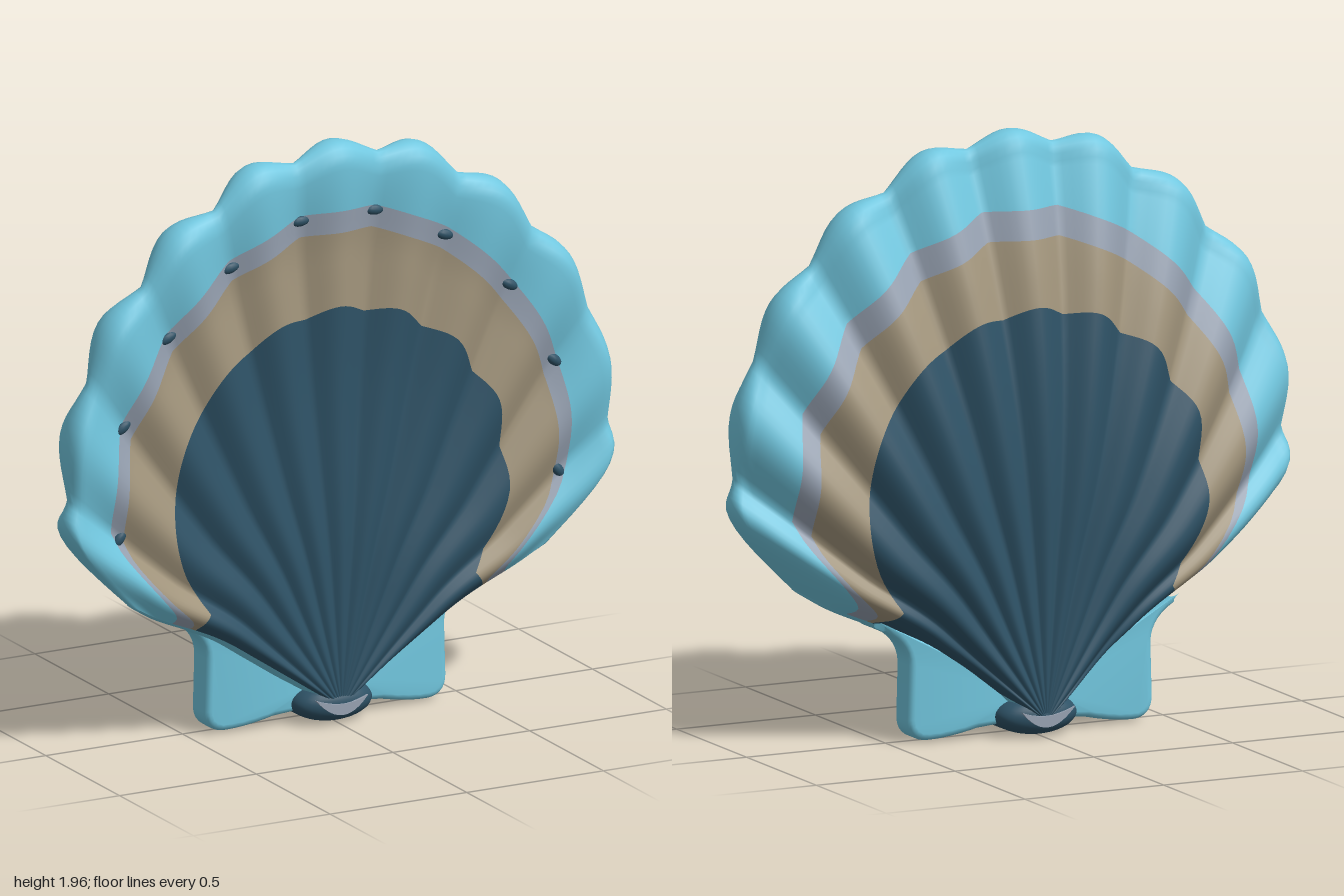
import * as THREE from 'three';
import { toCreasedNormals } from 'three/addons/utils/BufferGeometryUtils.js';

const DEG = Math.PI / 180;
const TIP_Y = 0.06;                                   // point the ribs fan out from
const EDGE = 59.6;                                    // half angle of the fan
const VALLEY = [4.7, 14.4, 25.2, 36.9, 49.8, EDGE];   // angles between ribs
const VALLEY_R = [1.85, 1.785, 1.67, 1.52, 1.29, 0.9];
const BULGE = [0.05, 0.06, 0.055, 0.045, 0.035, 0.12]; // scallop of each rib's end
const SEG = 12;

const mat = (name, color) => {
  const m = new THREE.MeshStandardMaterial({ color });
  m.name = name;
  return m;
};
const step = (a, b, x) => THREE.MathUtils.smoothstep(x, a, b);
const lerp = THREE.MathUtils.lerp;

// One ray of the fan: angle, roundness k of its rib (0 in valleys, 1 on crests),
// length R and unscalloped length base
function makeRay(rib, t) {
  const n = Math.abs(rib), s = rib < 0 ? -1 : 1;
  const a0 = n ? VALLEY[n - 1] : -VALLEY[0];
  const r0 = n ? VALLEY_R[n - 1] : VALLEY_R[0];
  const angle = s * lerp(a0, VALLEY[n], t);
  const k = lerp(1 - (2 * t - 1) ** 2, Math.sin(Math.PI * t) ** 2, 0.5);
  const base = lerp(r0, VALLEY_R[n], t);
  return { a: angle * DEG, u: angle / EDGE, k, base, R: base + BULGE[n] * k };
}

// Domed back and nearly flat, puffy front
function backZ(ray, v) {
  const dome = 0.22 * (Math.max(0, v - 0.35) / 0.62) ** 2;
  const side = 0.03 * ray.u ** 2 + 0.045 * ray.u ** 4 + 0.06 * ray.u ** 16;
  const z = -0.165 + dome + side * (1 - 0.7 * step(0.6, 1, v)) * step(0, 0.3, v);
  return z - 0.055 * (ray.k - 0.5) * Math.min(1, v * 1.3);
}
function frontZ(ray, v) {
  const dip = 0.03 * step(0.25, 0.65, v) * (1 - step(0.8, 0.97, v)) * (1 - ray.u ** 4);
  const lift = 0.014 * step(0.1, 0.45, Math.abs(ray.u)) * step(0.2, 0.6, v);
  const fade = 1 - 0.4 * step(0.85, 1, v);
  return 0.155 - dip + lift - 0.015 * ray.u ** 14 + 0.045 * (ray.k - 0.5) * Math.min(1, v * 1.3) * fade;
}
// The fan is a little narrower near the hinge
function place(ray, v, z) {
  const r = ray.R * v, a = ray.a * (1 - 0.06 * (1 - step(0.45, 0.8, r)));
  return new THREE.Vector3(Math.sin(a) * r, TIP_Y + Math.cos(a) * r, z);
}

// Smooth surface from rows of points, with a material index for each strip
function gridGeometry(rows, colourOf, flip) {
  const w = rows[0].length, pos = [], idx = [];
  const g = new THREE.BufferGeometry();
  rows.forEach(row => row.forEach(p => pos.push(p.x, p.y, p.z)));
  for (let j = 0; j < rows.length - 1; j++) {
    g.addGroup(idx.length, (w - 1) * 6, colourOf(j));
    for (let i = 0; i < w - 1; i++) {
      const a = j * w + i, b = a + w, c = a + 1, d = b + 1;
      if (flip) idx.push(a, c, b, c, d, b);
      else idx.push(a, b, c, c, b, d);
    }
  }
  g.setAttribute('position', new THREE.Float32BufferAttribute(pos, 3));
  g.setIndex(idx);
  g.computeVertexNormals();
  return g;
}

export function createModel() {
  const group = new THREE.Group();
  const blue = mat('sky blue', 0x72c8e0), dark = mat('deep blue', 0x2e5266);
  const tan = mat('tan', 0xa3967d), grey = mat('pale grey', 0x98a3b3);
  const palette = [dark, tan, grey, blue];
  const add = (name, geo, material) => {
    const m = new THREE.Mesh(geo, material);
    m.name = name;
    group.add(m);
    return m;
  };

  // Rays of all eleven ribs, from one side to the other
  const rays = [];
  for (let rib = -5; rib <= 5; rib++) {
    for (let i = rib === -5 ? 0 : 1; i <= SEG; i++) rays.push(makeRay(rib, rib < 0 ? 1 - i / SEG : i / SEG));
  }

  // Strips along a ray: dark, tan, grey, blue, mirrored on back and front
  const counts = [18, 7, 2, 8], strips = [];
  counts.forEach((n, c) => { for (let i = 0; i < n; i++) strips.push([c, i / n]); });
  const END = 0.965;
  const fractions = (ray, tanEnd, greyEnd) => {
    // Round dark zone; the tan and grey bands follow the rim and pinch out at the sides
    const pinch = step(0.86, 0.99, Math.abs(ray.u)), base = ray.base + 0.03;
    const circle = 0.73 * Math.cos(ray.a) + Math.sqrt(Math.max(0, 0.37 - (0.73 * Math.sin(ray.a)) ** 2));
    const rDark = Math.max(0.62, circle - 0.02 + 0.03 * ray.k);
    const rTan = lerp((tanEnd - 0.1 * ray.u ** 2) * base, rDark + 0.02, pinch);
    const rGrey = lerp((greyEnd - 0.09 * ray.u ** 2) * base, rDark + 0.09, pinch);
    const k = [0.025, rDark, rTan, rGrey, END * ray.R].map(r => r / ray.R);
    return [...strips.map(([c, t]) => lerp(k[c], k[c + 1], t)), END];
  };
  const RIM = 8;
  const profiles = rays.map(ray => {
    const pts = fractions(ray, 0.83, 0.88).map(v => place(ray, v, backZ(ray, v)));
    for (let i = 1; i < RIM; i++) {
      const f = Math.PI * i / RIM;
      const z = lerp(backZ(ray, END), frontZ(ray, END), (1 - Math.cos(f)) / 2);
      pts.push(place(ray, END + 0.035 * Math.sin(f), z));
    }
    const front = fractions(ray, 0.85, 0.89).reverse();
    return [...pts, ...front.map(v => place(ray, v, frontZ(ray, v)))];
  });
  const total = profiles[0].length;
  const rows = Array.from({ length: total }, (_, j) => profiles.map(p => p[j]));
  const stripColour = j => {
    const m = Math.min(j, total - 2 - j);
    return m < strips.length ? strips[m][0] : 3;
  };
  add('ribbedShell', gridGeometry(rows, stripColour, false), palette);

  // Rounded walls closing the two straight sides
  for (const s of [-1, 1]) {
    const p = profiles[s < 0 ? 0 : profiles.length - 1];
    const out = new THREE.Vector3(s * 0.5, -0.86, 0);
    const wall = [], half = Math.floor(total / 2);
    for (let j = 0; j < half; j++) {
      const bulge = 0.02 * Math.sqrt(1 - j / (half - 1));
      wall.push(Array.from({ length: 9 }, (_, q) =>
        p[j].clone().lerp(p[total - 1 - j], q / 8).addScaledVector(out, bulge * Math.sin(Math.PI * q / 8))));
    }
    add(s < 0 ? 'rightSideWall' : 'leftSideWall', gridGeometry(wall, () => 0, s < 0), [blue]);
  }

  // Ears beside the hinge, thicker towards the shell
  for (const s of [-1, 1]) {
    const shape = new THREE.Shape();
    shape.moveTo(s * 0.04, 0.07);
    shape.lineTo(s * 0.2, 0.055);
    shape.quadraticCurveTo(s * 0.3, 0.03, s * 0.37, 0.03);
    shape.quadraticCurveTo(s * 0.42, 0.03, s * 0.42, 0.08);
    shape.lineTo(s * 0.415, 0.26);
    shape.quadraticCurveTo(s * 0.42, 0.36, s * 0.54, 0.41);
    shape.lineTo(s * 0.04, 0.14);
    const geo = new THREE.ExtrudeGeometry(shape, { depth: 0.06, bevelThickness: 0.025,
      bevelSize: 0.022, bevelSegments: 4, curveSegments: 8 });
    geo.translate(0, 0, -0.03);
    const ep = geo.attributes.position;
    for (let i = 0; i < ep.count; i++) ep.setZ(i, ep.getZ(i) * (1 + 1.3 * (0.44 - Math.abs(ep.getX(i)))));
    add(s < 0 ? 'rightEar' : 'leftEar', toCreasedNormals(geo, 0.6), blue);
  }

  // Blunt hinge knob, a sphere squared off along its depth
  const knob = new THREE.SphereGeometry(1, 32, 24);
  const kp = knob.attributes.position;
  for (let i = 0; i < kp.count; i++) {
    const z = kp.getZ(i);
    kp.setXYZ(i, kp.getX(i) * 0.145, 0.07 + kp.getY(i) * 0.067, Math.sign(z) * Math.abs(z) ** 0.4 * 0.162);
  }
  knob.computeVertexNormals();
  add('hingeKnob', knob, dark);

  // Pale crescents on both faces of the knob
  const crescent = new THREE.Shape();
  crescent.moveTo(-0.1, 0.1);
  crescent.quadraticCurveTo(0, -0.02, 0.09, 0.095);
  crescent.quadraticCurveTo(0, 0.055, -0.1, 0.1);
  for (const s of [-1, 1]) {
    const geo = new THREE.ExtrudeGeometry(crescent, { depth: 0.009, bevelEnabled: false });
    geo.translate(0, 0, s > 0 ? 0.157 : -0.168);
    add(s > 0 ? 'frontCrescent' : 'backCrescent', geo, grey);
  }

  // Dark spots in the front grooves
  const spotAt = [0.895, 0.885, 0.88, 0.865, 0.815];
  for (const s of [-1, 1]) {
    spotAt.forEach((v, n) => {
      const ray = makeRay(n, 1);
      const spot = add('grooveSpot', new THREE.SphereGeometry(1, 12, 8), dark);
      spot.position.copy(place(ray, v, frontZ(ray, v)));
      spot.position.x *= s;
      spot.rotation.z = -s * ray.a;
      spot.scale.set(0.034, 0.018, 0.016);
    });
  }
  return group;
}
